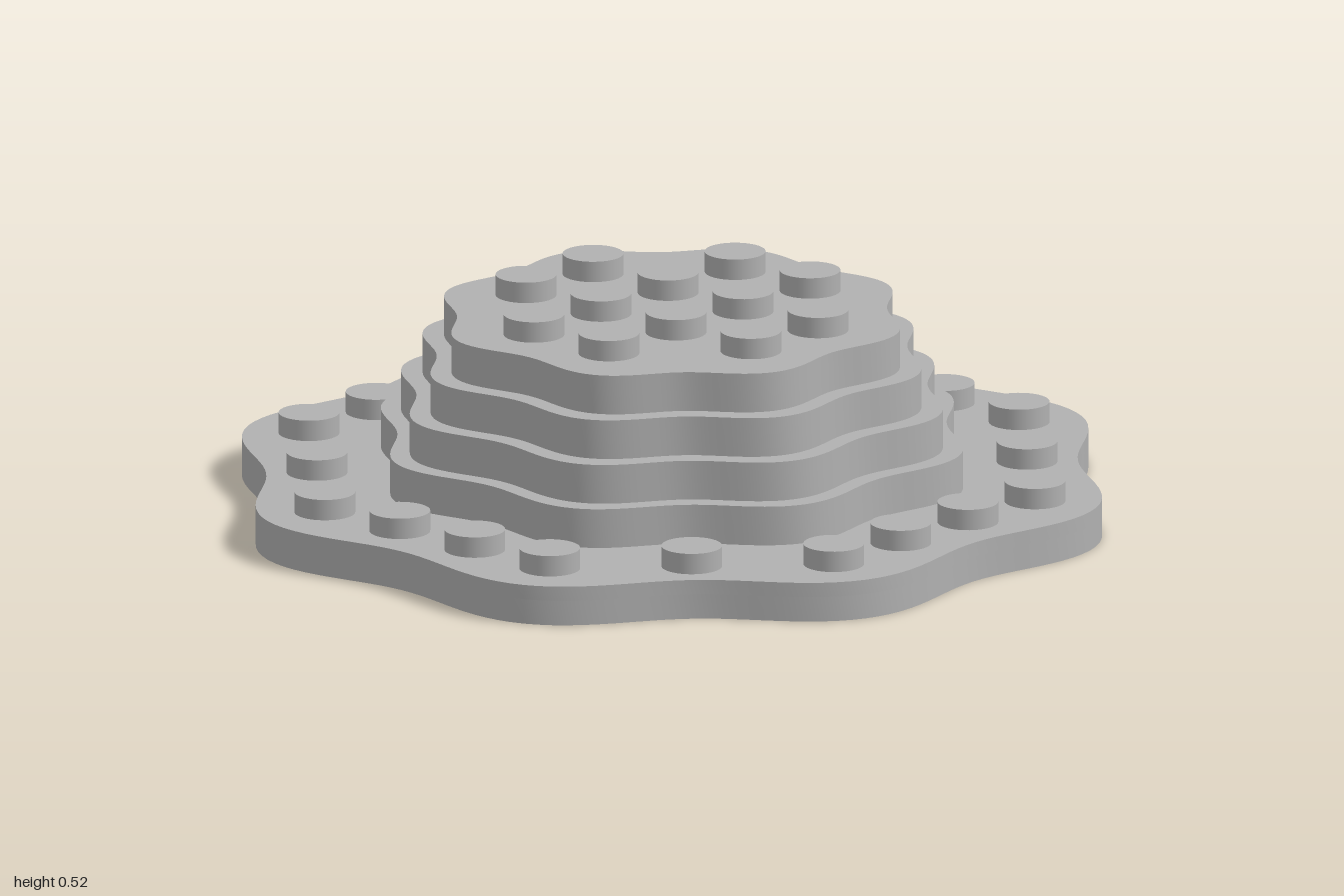
import * as THREE from 'three';
import { toCreasedNormals } from 'three/addons/utils/BufferGeometryUtils.js';

const PITCH = 0.2375;   // stud spacing
const LAYER = 0.095;    // plate thickness
const RECESS = 0.06;    // depth of the hollow underside
const STUD_R = 0.072, STUD_H = 0.05;

// Eight-lobed wavy outline, about 2 * scale wide
function wavyShape(scale) {
  const points = [];
  const n = 192;
  for (let i = 0; i < n; i++) {
    const a = (i / n) * Math.PI * 2;
    const r = scale * (1.01 - 0.05 * Math.cos(8 * a));
    points.push(new THREE.Vector2(r * Math.cos(a), r * Math.sin(a)));
  }
  return new THREE.Shape(points);
}

// Extrude a shape upward from y0 to y1 with smooth sides and sharp rims
function plate(shape, y0, y1) {
  const g = new THREE.ExtrudeGeometry(shape, { depth: y1 - y0, bevelEnabled: false });
  g.rotateX(-Math.PI / 2);
  g.translate(0, y0, 0);
  return toCreasedNormals(g, 0.6);
}

export function createModel() {
  const model = new THREE.Group();
  model.name = 'steppedPlates';
  const grey = new THREE.MeshStandardMaterial({ color: 0xb0b0b0 });
  grey.name = 'grey';

  const add = (name, geometry, parent = model) => {
    const mesh = new THREE.Mesh(geometry, grey);
    mesh.name = name;
    parent.add(mesh);
    return mesh;
  };

  // Base: a rim with a square recess, closed by a deck
  const h = 0.457;
  const rim = wavyShape(1);
  rim.holes.push(new THREE.Path([
    new THREE.Vector2(-h, -h), new THREE.Vector2(-h, h),
    new THREE.Vector2(h, h), new THREE.Vector2(h, -h),
  ]));
  add('baseRim', plate(rim, 0, RECESS));
  add('baseDeck', plate(wavyShape(1), RECESS, LAYER));

  // Four shrinking tiers
  [0.677, 0.63, 0.58, 0.53].forEach((scale, i) => {
    add('tier' + (i + 1), plate(wavyShape(scale), LAYER * (i + 1), LAYER * (i + 2)));
  });

  // Studs, placed in half-pitch grid steps and mirrored to all quadrants
  const studGeometry = new THREE.CylinderGeometry(STUD_R, STUD_R, STUD_H, 40);
  const addStuds = (name, y, cells) => {
    const group = new THREE.Group();
    group.name = name;
    model.add(group);
    for (const [cx, cz] of cells) {
      for (const sx of [-1, 1]) {
        for (const sz of [-1, 1]) {
          add('stud', studGeometry, group)
            .position.set(sx * cx * PITCH / 2, y + STUD_H / 2, sz * cz * PITCH / 2);
        }
      }
    }
  };
  addStuds('baseStuds', LAYER, [[1, 7], [3, 7], [7, 1], [7, 3], [5, 5]]);
  addStuds('topStuds', LAYER * 5, [[1, 1], [1, 3], [3, 1]]);

  // Hollow tubes under the base
  const tubeProfile = [[0.073, RECESS], [0.073, 0], [0.096, 0], [0.096, RECESS]]
    .map(([r, y]) => new THREE.Vector2(r, y));
  const tubeGeometry = toCreasedNormals(new THREE.LatheGeometry(tubeProfile, 40), 0.6);
  const tubes = new THREE.Group();
  tubes.name = 'undersideTubes';
  model.add(tubes);
  for (let i = -1; i <= 1; i++) {
    for (let j = -1; j <= 1; j++) {
      add('tube', tubeGeometry, tubes).position.set(i * PITCH, 0, j * PITCH);
    }
  }

  return model;
}
